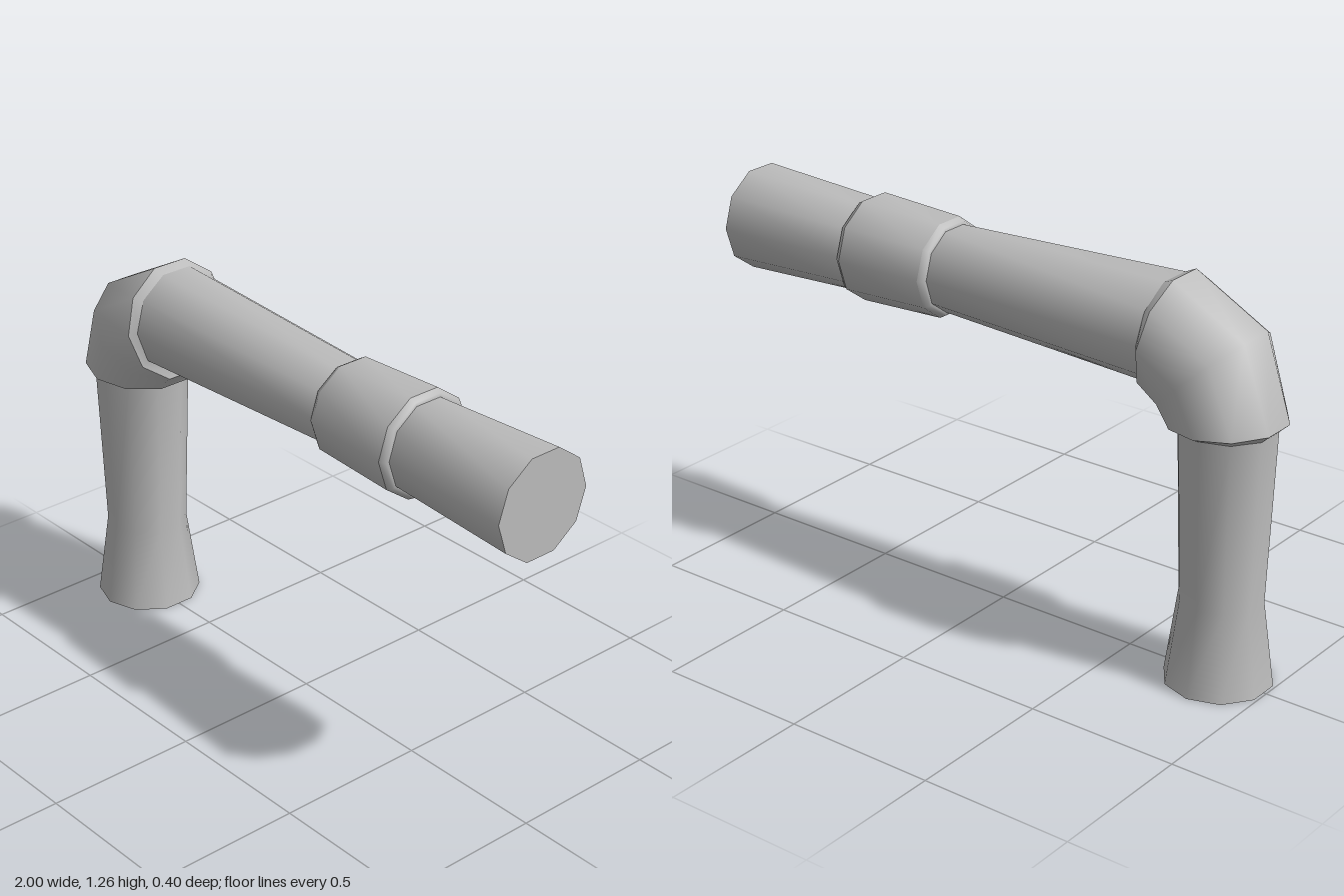
import * as THREE from 'three';

const SIDES = 10;
const PIPE_X = -0.827; // axis of the upright pipe
const PIPE_Y = 1.086;  // axis of the level pipe

// Smooth skin through rings [centreX, centreY, radius, tilt]; tilt 0 faces +x, 90 faces up.
function loft(rings) {
  const positions = [], index = [];
  for (const [x, y, r, tilt] of rings) {
    const a = THREE.MathUtils.degToRad(tilt);
    for (let i = 0; i < SIDES; i++) {
      const t = (i / SIDES) * Math.PI * 2;
      const s = r * Math.sin(t);
      positions.push(x - Math.sin(a) * s, y + Math.cos(a) * s, r * Math.cos(t));
    }
  }
  for (let k = 0; k < rings.length - 1; k++) {
    for (let i = 0; i < SIDES; i++) {
      const a = k * SIDES + i, b = k * SIDES + (i + 1) % SIDES;
      index.push(a, a + SIDES, b, b, a + SIDES, b + SIDES);
    }
  }
  const geometry = new THREE.BufferGeometry();
  geometry.setAttribute('position', new THREE.Float32BufferAttribute(positions, 3));
  geometry.setIndex(index);
  geometry.computeVertexNormals();
  return geometry;
}

export function createModel() {
  const model = new THREE.Group();
  const grey = new THREE.MeshStandardMaterial({ color: 0xbcbcbc });
  grey.name = 'pipe grey';

  const add = (name, rings) => {
    const mesh = new THREE.Mesh(loft(rings), grey);
    mesh.name = name;
    model.add(mesh);
  };
  const upright = (y, r) => [PIPE_X, y, r, 90];
  const level = (x, r) => [x, PIPE_Y, r, 0];

  // Upright pipe, flared at the foot
  add('footCap', [upright(0, 0), upright(0, 0.172)]);
  add('uprightPipe', [upright(0, 0.172), upright(0.28, 0.133), upright(0.85, 0.153)]);

  // Elbow with a bevelled lip at each mouth
  const lower = [PIPE_X, 0.853, 0.184, 86];
  const middle = [-0.77, 1.0, 0.201, 47];
  const upper = [-0.63, 1.081, 0.196, 9.5];
  add('elbowLowerLip', [upright(0.836, 0.15), lower]);
  add('elbow', [lower, middle, upper]);
  add('elbowUpperLip', [upper, [-0.612, PIPE_Y, 0.17, 3]]);

  // Level pipe, narrowing towards the collar
  add('levelPipe', [level(-0.63, 0.173), level(0.2, 0.139)]);

  // Raised collar with bevelled ends
  add('collarInnerBevel', [level(0.19, 0.138), level(0.192, 0.15), level(0.21, 0.161)]);
  add('collar', [level(0.21, 0.161), level(0.515, 0.174)]);
  add('collarOuterBevel', [level(0.515, 0.174), level(0.533, 0.163), level(0.535, 0.15)]);

  // End pipe, widening to a closed end
  add('endPipe', [level(0.53, 0.151), level(1, 0.173)]);
  add('endCap', [level(1, 0.173), level(1, 0)]);

  return model;
}
